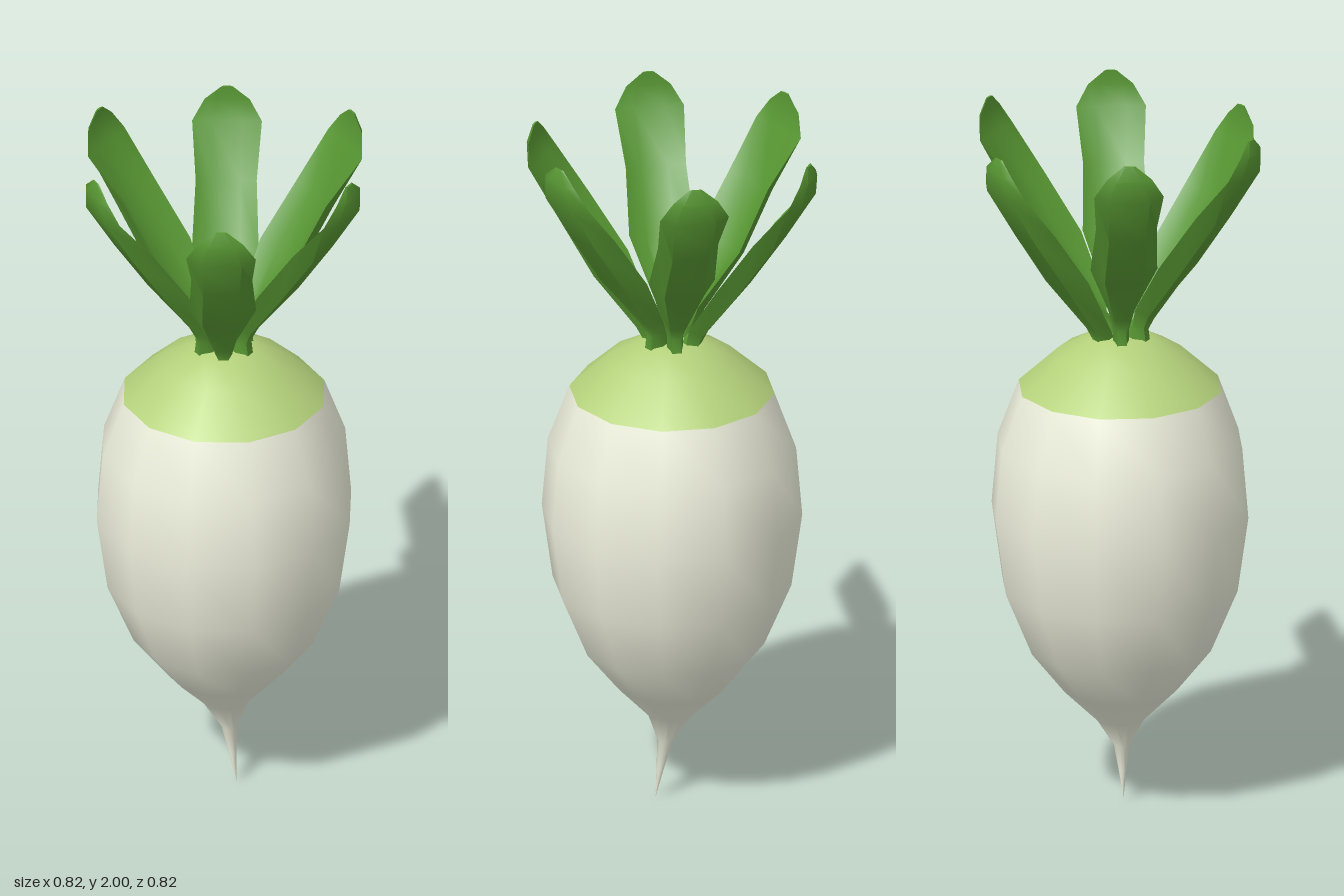
import * as THREE from 'three';
import { toCreasedNormals } from 'three/addons/utils/BufferGeometryUtils.js';

const material = (color) => new THREE.MeshStandardMaterial({ color });

// Twelve-sided turned part; the thin lower root is swept towards +x
function turned(name, profile, color) {
  const geo = new THREE.LatheGeometry(profile.map(([r, y]) => new THREE.Vector2(r, y)), 12);
  const pos = geo.attributes.position;
  for (let i = 0; i < pos.count; i++) {
    const k = Math.max(0, (0.27 - pos.getY(i)) / 0.27);
    pos.setX(i, pos.getX(i) + 0.05 * Math.pow(k, 0.9));
  }
  const mesh = new THREE.Mesh(geo, material(color));
  mesh.name = name;
  return mesh;
}

// Closed skin over equal-sized rings of points
function loft(rings) {
  const n = rings[0].length;
  const index = [];
  for (let i = 0; i < rings.length - 1; i++) {
    for (let j = 0; j < n; j++) {
      const a = i * n + j, b = i * n + (j + 1) % n;
      index.push(a, b, a + n, b, b + n, a + n);
    }
  }
  const last = (rings.length - 1) * n;
  for (let j = 1; j < n - 1; j++) {
    index.push(0, j + 1, j);
    index.push(last, last + j, last + j + 1);
  }
  const geo = new THREE.BufferGeometry();
  geo.setAttribute('position', new THREE.Float32BufferAttribute(rings.flat(2), 3));
  geo.setIndex(index);
  return toCreasedNormals(geo, 0.8);
}

// Cupped leaf on a wedge-shaped stem, leaning out along +x:
// [radius, height, half width, edge offset, middle offset, thickness, lean]
function leafGeometry() {
  const stations = [
    [0.06, 1.35, 0.022, 0.01, 0.058, 0.03, 0],
    [0.06, 1.405, 0.022, 0.012, 0.04, 0.022, 0],
    [0.085, 1.45, 0.036, 0.024, 0.01, 0.014, 0.5],
    [0.195, 1.6, 0.092, 0.034, 0.006, 0.016, 0.5],
    [0.3, 1.76, 0.084, 0.03, 0.005, 0.018, 0.5],
    [0.385, 1.9, 0.096, 0.006, 0.003, 0.018, 0.5],
    [0.402, 1.96, 0.062, 0.003, 0.003, 0.012, 0.3],
    [0.402, 2.0, 0.016, 0.002, 0.002, 0.004, 0],
  ];
  return loft(stations.map(([r, y, w, edge, mid, t, lean]) => {
    const section = [[-w, edge], [-0.45 * w, mid], [0.45 * w, mid],
      [w, edge], [0.6 * w, -t], [-0.6 * w, -t]];
    return section.map(([side, inward]) => [r - 0.9 * inward, y + lean * inward, side]);
  }));
}

export function createModel() {
  const model = new THREE.Group();
  model.name = 'radish';

  // Pale root with a thin tail, and its green shoulder
  model.add(turned('root', [
    [0, 0], [0.011, 0.09], [0.022, 0.17], [0.066, 0.25], [0.16, 0.345], [0.255, 0.465],
    [0.33, 0.645], [0.36, 0.86], [0.343, 1.06], [0.284, 1.22],
  ], 0xeff1de));
  model.add(turned('crown', [
    [0.284, 1.22], [0.175, 1.32], [0.08, 1.37], [0, 1.375],
  ], 0xb4d17b));

  // Ring of six leaves, one opposite pair set slightly lower
  const leaves = new THREE.Group();
  leaves.name = 'leaves';
  const geo = leafGeometry();
  const green = material(0x579632);
  for (let i = 0; i < 6; i++) {
    const leaf = new THREE.Mesh(geo, green);
    leaf.name = 'leaf';
    leaf.rotation.y = Math.PI / 12 + (i * Math.PI) / 3;
    leaf.position.y = i % 3 === 2 ? -0.04 : 0;
    leaves.add(leaf);
  }
  model.add(leaves);
  return model;
}
